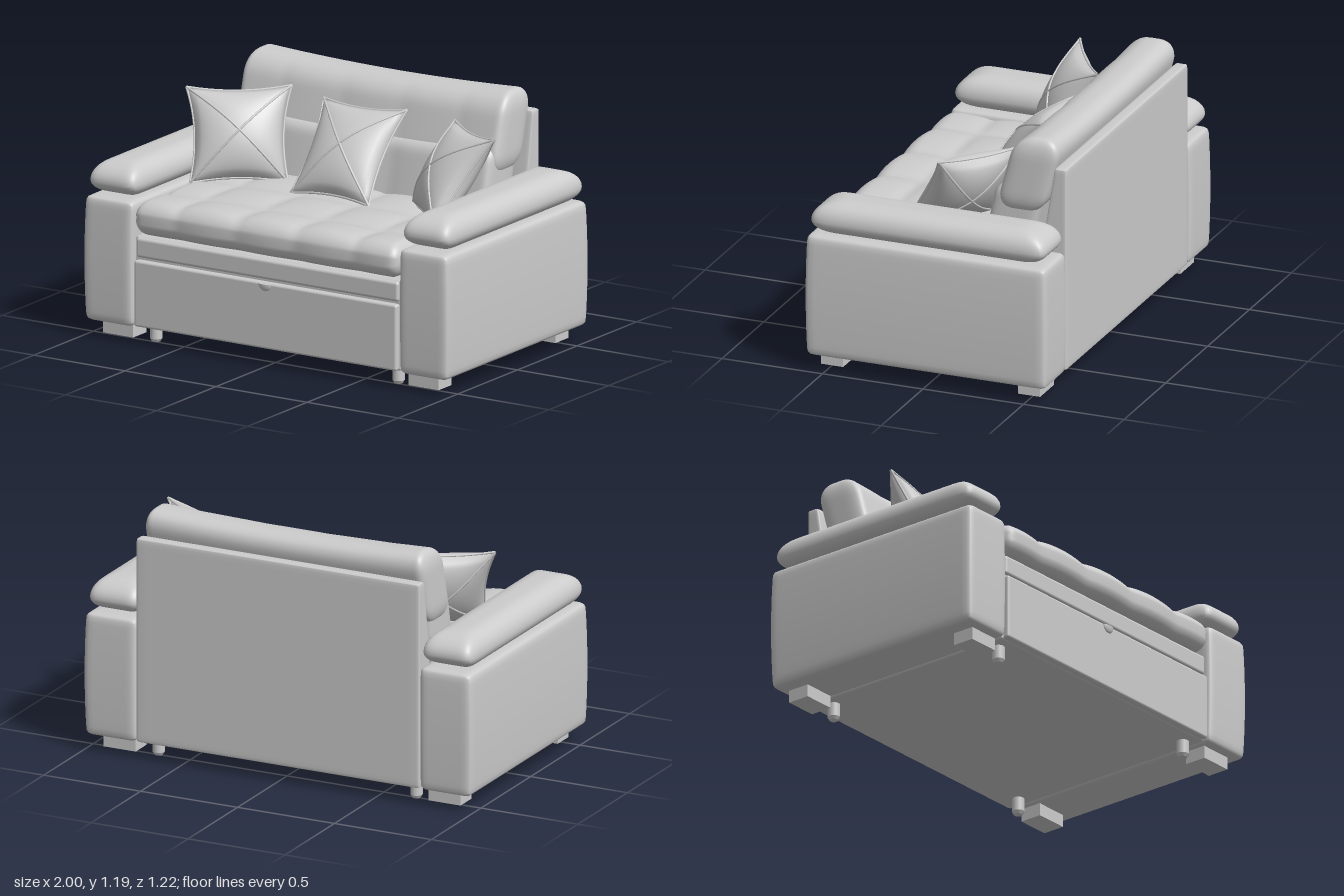
import * as THREE from 'three';
import { mergeVertices } from 'three/addons/utils/BufferGeometryUtils.js';
import { RoundedBoxGeometry } from 'three/addons/geometries/RoundedBoxGeometry.js';

const fabric = new THREE.MeshStandardMaterial({ color: 0xcccccc });
fabric.name = 'greyFabric';

function add(parent, name, geometry, x = 0, y = 0, z = 0) {
  const mesh = new THREE.Mesh(geometry, fabric);
  mesh.name = name;
  mesh.position.set(x, y, z);
  parent.add(mesh);
  return mesh;
}

// Smooth upholstered block: size, edge radii, segments, corner squareness, optional deform rule
function softBox(size, radii, segs, power = 2, deform = null) {
  let g = new THREE.BoxGeometry(...size, ...segs);
  g.deleteAttribute('normal');
  g.deleteAttribute('uv');
  g = mergeVertices(g, 1e-5);
  const pos = g.attributes.position;
  const p = new THREE.Vector3();
  for (let i = 0; i < pos.count; i++) {
    p.fromBufferAttribute(pos, i);
    // crowd the grid lines towards the rounded edges
    const v = p.toArray().map((c, k) => c * (1.5 - 0.5 * (c / (size[k] / 2)) ** 2));
    const inner = v.map((c, k) => {
      const lim = size[k] / 2 - radii[k];
      return Math.max(-lim, Math.min(lim, c));
    });
    const d = v.map((c, k) => (c - inner[k]) / radii[k]);
    const flat = (Math.abs(d[0]) ** power + Math.abs(d[2]) ** power) ** (1 / power);
    const len = Math.hypot(flat, d[1]);
    const top = Math.max(Math.abs(d[0]), Math.abs(d[1]), Math.abs(d[2]));
    const s = len > 0 ? top / len : 1;
    p.set(...inner.map((c, k) => c + d[k] * s * radii[k]));
    if (deform) deform(p);
    pos.setXYZ(i, p.x, p.y, p.z);
  }
  g.computeVertexNormals();
  return g;
}

const columnPuff = (x) => Math.abs(Math.cos((Math.PI * x) / 0.325));

// Throw pillow spanned by four corners, with piping on its rim and diagonals
function pillow(parent, name, bl, br, tl, tr, thick) {
  const [A, B, C, D] = [bl, br, tl, tr].map((c) => new THREE.Vector3(...c));
  const normal = new THREE.Vector3()
    .crossVectors(B.clone().sub(A), C.clone().sub(A)).normalize();
  const at = (u, v, side) => {
    const s = (u * (1 - 0.13 * (1 - v * v)) + 1) / 2;
    const t = (v * (1 - 0.1 * (1 - u * u)) + 1) / 2;
    const low = A.clone().lerp(B, s);
    const high = C.clone().lerp(D, s);
    const puff = Math.max(0, (1 - u * u) * (1 - v * v)) ** 0.55;
    return low.lerp(high, t).addScaledVector(normal, side * thick * puff);
  };
  const group = new THREE.Group();
  group.name = name;
  parent.add(group);
  const N = 24, pts = [], idx = [];
  for (const side of [1, -1]) {
    const base = pts.length / 3;
    for (let j = 0; j <= N; j++)
      for (let i = 0; i <= N; i++)
        pts.push(...at((2 * i) / N - 1, (2 * j) / N - 1, side).toArray());
    for (let j = 0; j < N; j++)
      for (let i = 0; i < N; i++) {
        const a = base + j * (N + 1) + i, b = a + 1, c = a + N + 1, d = c + 1;
        if (side > 0) idx.push(a, b, d, a, d, c);
        else idx.push(a, d, b, a, c, d);
      }
  }
  let g = new THREE.BufferGeometry();
  g.setAttribute('position', new THREE.Float32BufferAttribute(pts, 3));
  g.setIndex(idx);
  g = mergeVertices(g, 1e-5);
  g.computeVertexNormals();
  add(group, 'pillowBody', g);
  const pipe = (label, f) => {
    const path = Array.from({ length: 21 }, (_, i) => f(i / 10 - 1));
    add(group, label, new THREE.TubeGeometry(new THREE.CatmullRomCurve3(path), 32, 0.006, 6));
  };
  for (const s of [1, -1]) {
    pipe('rimPiping', (t) => at(t, s, 0));
    pipe('rimPiping', (t) => at(s, t, 0));
    pipe('crossPiping', (t) => at(t, t, s));
    pipe('crossPiping', (t) => at(t, -t, s));
  }
}

export function createModel() {
  const sofa = new THREE.Group();
  sofa.name = 'sofa';

  // Frame, pull-out drawer and back panel
  add(sofa, 'baseFrame', new RoundedBoxGeometry(1.46, 0.43, 1.14, 2, 0.012), 0, 0.295, -0.01);
  add(sofa, 'drawerFront', new RoundedBoxGeometry(1.44, 0.315, 0.06, 3, 0.012), 0, 0.242, 0.56);
  add(sofa, 'frontRail', new RoundedBoxGeometry(1.44, 0.095, 0.05, 3, 0.015), 0, 0.458, 0.55);
  const pull = add(sofa, 'drawerPull', new THREE.SphereGeometry(0.035, 20, 10, 0, Math.PI * 2, Math.PI / 2, Math.PI / 2), 0, 0.395, 0.588);
  pull.scale.z = 0.4;
  const pullTop = add(sofa, 'drawerPullTop', new THREE.CircleGeometry(0.035, 20), 0, 0.395, 0.588);
  pullTop.rotation.x = -Math.PI / 2;
  pullTop.scale.y = 0.4;
  add(sofa, 'backPanel', softBox([1.46, 0.99, 0.06], [0.012, 0.012, 0.012], [16, 24, 8], 2, (p) => {
    if (p.z > 0) p.z += Math.min(0.06, (0.495 - p.y) * 0.16);
  }), 0, 0.575, -0.57);

  // Arms with padded tops and feet
  for (const s of [1, -1]) {
    const side = s > 0 ? 'left' : 'right';
    add(sofa, side + 'Arm', softBox([0.265, 0.595, 1.19], [0.035, 0.03, 0.03], [14, 18, 24], 2, (p) => {
      const k = 1 - (p.y / 0.3) ** 2;
      if (p.x * s > 0) p.x += s * 0.008 * k;
      p.z += Math.sign(p.z) * 0.006 * k * Math.min(1, Math.abs(p.z) / 0.5);
    }), s * 0.862, 0.3725, -0.007);
    add(sofa, side + 'ArmPad', softBox([0.265, 0.165, 1.17], [0.1, 0.082, 0.16], [18, 14, 40], 5, (p) => {
      // fuller above the seam than below it
      p.y = p.y > 0 ? p.y * 1.12 - 0.01 : p.y * 0.86 - 0.01;
    }), s * 0.86, 0.75, -0.008);
    for (const z of [0.485, -0.495]) {
      add(sofa, 'blockFoot', new THREE.BoxGeometry(0.165, 0.065, 0.11), s * 0.838, 0.0475, z);
      add(sofa, 'supportLeg', new THREE.CylinderGeometry(0.029, 0.029, 0.075, 20), s * 0.665, 0.0525, z);
      add(sofa, 'supportLegTip', new THREE.CylinderGeometry(0.029, 0.02, 0.015, 20), s * 0.665, 0.0075, z);
    }
  }

  // Tufted seat cushion
  add(sofa, 'seatCushion', softBox([1.45, 0.175, 1.0], [0.06, 0.085, 0.08], [84, 12, 60], 3, (p) => {
    const z = p.z + 0.1;
    const puff = columnPuff(p.x) * Math.abs(Math.sin((Math.PI * (z - 0.06)) / 0.29));
    if (p.y > 0) {
      p.y -= (p.y / 0.0875) * 0.028 * (1 - puff ** 0.4);
      p.y -= (p.y / 0.0875) * 0.012 * (p.x / 0.72) ** 4;
    }
    if (p.z > 0.3) {
      p.z += (p.z - 0.3) * (0.06 * columnPuff(p.x) - 0.05 * (p.x / 0.72) ** 6);
      if (Math.abs(p.y) < 0.012) p.z -= 0.006;
    }
  }), 0, 0.603, 0.1);

  // Leaning back cushions, softly channelled
  const lean = (k, front) => (p) => {
    if (p.z > 0) p.z -= (p.z / 0.12) * front * (1 - columnPuff(p.x) ** 0.4);
    if (p.y > 0) p.y += 0.018 * ((p.x / 0.7) ** 2 - 0.6) * (p.y / 0.17);
    p.z -= p.y * k;
  };
  add(sofa, 'lowerBackCushion', softBox([1.41, 0.36, 0.24], [0.05, 0.06, 0.07], [72, 18, 12], 3, lean(0.22, 0.015)), 0, 0.765, -0.315);
  add(sofa, 'upperBackCushion', softBox([1.45, 0.37, 0.24], [0.05, 0.1, 0.1], [72, 20, 16], 3, lean(0.27, 0.01)), 0, 1.0, -0.4);

  // Throw pillows
  pillow(sofa, 'centrePillow', [-0.22, 0.67, 0.04], [0.21, 0.67, 0.04], [-0.24, 1.05, -0.27], [0.22, 1.06, -0.27], 0.09);
  pillow(sofa, 'rightPillow', [-0.7, 0.67, 0.15], [-0.33, 0.67, -0.11], [-0.83, 1.07, -0.02], [-0.42, 1.08, -0.28], 0.1);
  pillow(sofa, 'leftPillow', [0.36, 0.67, -0.1], [0.69, 0.67, 0.23], [0.48, 1.05, -0.27], [0.86, 1.07, -0.02], 0.1);

  return sofa;
}
